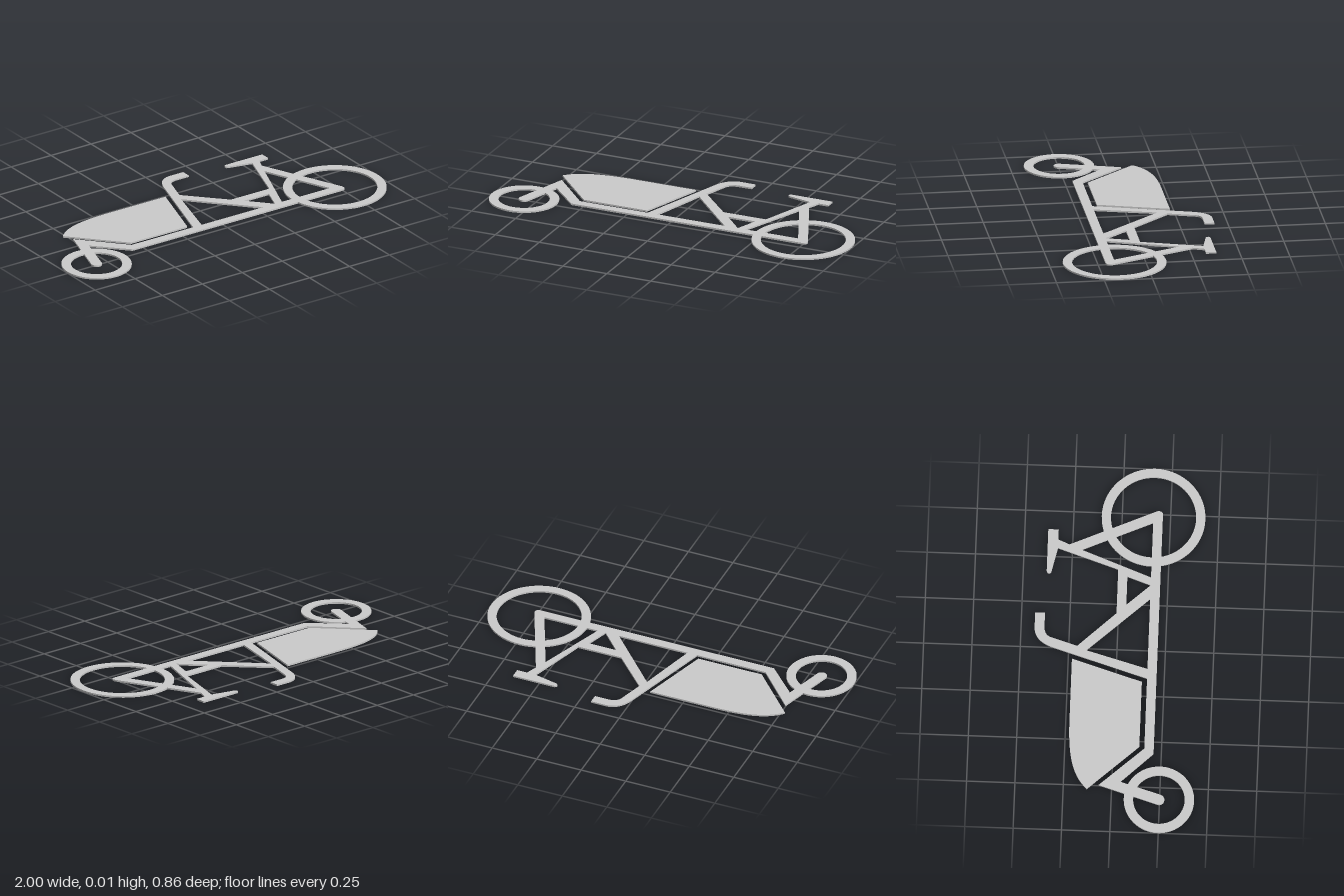
import * as THREE from 'three';

const THICKNESS = 0.009;

// Extrude a flat shape and lay it on the ground
function plate(name, shape, material) {
  const geometry = new THREE.ExtrudeGeometry(shape, {
    depth: THICKNESS, bevelEnabled: false, curveSegments: 32,
  });
  geometry.rotateX(-Math.PI / 2);
  const mesh = new THREE.Mesh(geometry, material);
  mesh.name = name;
  return mesh;
}

const polygon = (points, Type = THREE.Path) =>
  new Type(points.map(([x, y]) => new THREE.Vector2(x, y)));

function ring(x, y, outer, inner) {
  const shape = new THREE.Shape().absarc(x, y, outer, 0, Math.PI * 2, false);
  shape.holes.push(new THREE.Path().absarc(x, y, inner, 0, Math.PI * 2, true));
  return shape;
}

function frameShape() {
  const s = new THREE.Shape();
  // head, sloping tube and steering column
  s.moveTo(-0.749, 0.068);
  s.lineTo(-0.54, -0.161);
  s.lineTo(-0.155, -0.161);
  s.lineTo(0, 0.336);
  // handlebar
  s.bezierCurveTo(0.02, 0.395, 0.055, 0.43, 0.107, 0.43);
  s.lineTo(0.187, 0.43);
  s.lineTo(0.187, 0.379);
  s.lineTo(0.112, 0.379);
  s.bezierCurveTo(0.08, 0.379, 0.06, 0.365, 0.053, 0.341);
  s.lineTo(0.011, 0.207);
  // diagonal tube, cross tube and seat tube
  s.lineTo(0.198, 0.01);
  s.lineTo(0.439, 0.01);
  s.lineTo(0.545, 0.325);
  // saddle
  s.lineTo(0.417, 0.354);
  s.bezierCurveTo(0.4, 0.358, 0.4, 0.379, 0.422, 0.379);
  s.lineTo(0.647, 0.379);
  s.lineTo(0.647, 0.325);
  s.lineTo(0.592, 0.325);
  s.lineTo(0.567, 0.266);
  // seat stay, rounded rear dropout and bottom tube
  s.lineTo(0.765, -0.178);
  s.quadraticCurveTo(0.772, -0.21, 0.746, -0.21);
  s.lineTo(-0.567, -0.21);
  s.lineTo(-0.727, -0.044);
  // fork with rounded tip
  s.absarc(-0.818, -0.247, 0.028, -0.28, -Math.PI - 0.28, true);
  s.closePath();
  // openings between the tubes
  s.holes.push(
    polygon([[-0.011, 0.159], [-0.102, -0.161], [0.283, -0.161]]),
    polygon([[0.246, -0.039], [0.358, -0.161], [0.401, -0.039]]),
    polygon([[0.401, -0.161], [0.701, -0.161], [0.54, 0.202]]),
  );
  return s;
}

function cargoBoxShape() {
  const s = new THREE.Shape();
  s.moveTo(-0.772, 0.128);
  s.bezierCurveTo(-0.7, 0.21, -0.58, 0.231, -0.4, 0.231);
  s.lineTo(-0.06, 0.231);
  s.lineTo(-0.174, -0.135);
  s.lineTo(-0.53, -0.135);
  s.closePath();
  return s;
}

export function createModel() {
  const model = new THREE.Group();
  model.name = 'cargoBike';
  const grey = new THREE.MeshStandardMaterial({ color: 0xcccccc });

  model.add(
    plate('frame', frameShape(), grey),
    plate('cargoBox', cargoBoxShape(), grey),
    plate('frontWheel', ring(-0.818, -0.247, 0.182, 0.133), grey),
    plate('rearWheel', ring(0.731, -0.162, 0.268, 0.22), grey),
  );
  return model;
}
